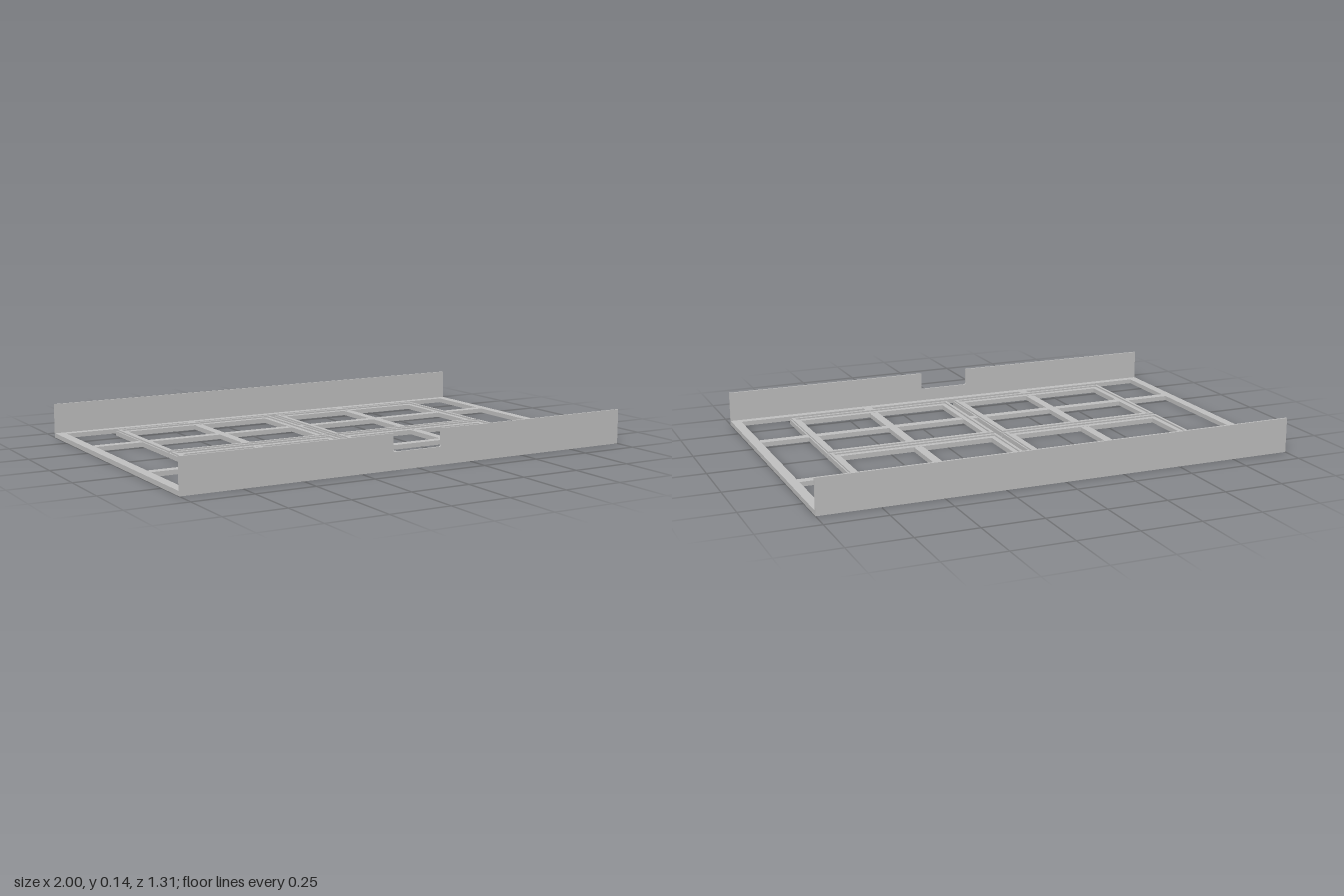
import * as THREE from 'three';

const steel = new THREE.MeshStandardMaterial({ color: 0xc0c0c0 });
steel.name = 'lightGreySteel';

const X = 1, Z = 0.654, BAR = 0.038, BAR_H = 0.019, WALL = 0.008, WALL_H = 0.145;

// Box given by its limits
function bar(name, x0, x1, y0, y1, z0, z1) {
  const mesh = new THREE.Mesh(new THREE.BoxGeometry(x1 - x0, y1 - y0, z1 - z0), steel);
  mesh.position.set((x0 + x1) / 2, (y0 + y1) / 2, (z0 + z1) / 2);
  mesh.name = name;
  return mesh;
}

// Flat rectangular ring lying in the xz plane, extruded upwards
function ring(name, w, d, border, y0, y1) {
  const rect = (P, a, b) => {
    const p = new P();
    p.moveTo(-a, -b);
    p.lineTo(a, -b);
    p.lineTo(a, b);
    p.lineTo(-a, b);
    p.closePath();
    return p;
  };
  const shape = rect(THREE.Shape, w / 2, d / 2);
  shape.holes.push(rect(THREE.Path, w / 2 - border, d / 2 - border));
  const geo = new THREE.ExtrudeGeometry(shape, { depth: y1 - y0, bevelEnabled: false });
  geo.rotateX(-Math.PI / 2);
  const mesh = new THREE.Mesh(geo, steel);
  mesh.position.y = y0;
  mesh.name = name;
  return mesh;
}

// Upright side plate, optionally with a rounded notch in its top edge
function plate(name, z, notched) {
  const s = new THREE.Shape();
  s.moveTo(-X, 0);
  s.lineTo(X, 0);
  s.lineTo(X, WALL_H);
  if (notched) {
    const n = 0.11, b = 0.072, r = 0.008;
    s.lineTo(n, WALL_H);
    s.lineTo(n, b + r);
    s.quadraticCurveTo(n, b, n - r, b);
    s.lineTo(-n + r, b);
    s.quadraticCurveTo(-n, b, -n, b + r);
    s.lineTo(-n, WALL_H);
  }
  s.lineTo(-X, WALL_H);
  s.closePath();
  const geo = new THREE.ExtrudeGeometry(s, { depth: WALL, bevelEnabled: false, curveSegments: 4 });
  const mesh = new THREE.Mesh(geo, steel);
  mesh.position.z = z;
  mesh.name = name;
  return mesh;
}

export function createModel() {
  const model = new THREE.Group();
  model.name = 'panelRack';

  // Outer frame and side plates
  model.add(ring('outerFrame', 2 * X, 2 * (Z - 0.001), 0.04, 0, BAR_H));
  model.add(plate('frontPlate', Z - WALL, true));
  model.add(plate('backPlate', -Z, false));

  // Cross bars in both directions
  for (const s of [-1, 1]) {
    const x = s * 0.382, z = s * 0.286;
    model.add(bar('lengthBar', x - BAR / 2, x + BAR / 2, 0, BAR_H, -Z + 0.03, Z - 0.03));
    model.add(bar('crossBar', -X + 0.03, X - 0.03, 0, BAR_H, z - BAR / 2, z + BAR / 2));
  }

  // Four panel seats, each a flat ring with a raised lip
  for (const sx of [-1, 1]) for (const sz of [-1, 1]) {
    const seat = new THREE.Group();
    seat.name = 'panelSeat';
    seat.add(ring('seatFrame', 0.743, 0.558, 0.041, 0, BAR_H + 0.001));
    seat.add(ring('seatLip', 0.731, 0.55, 0.013, BAR_H, 0.026));
    seat.position.set(sx * 0.385, 0, sz * 0.286);
    model.add(seat);
  }
  return model;
}
